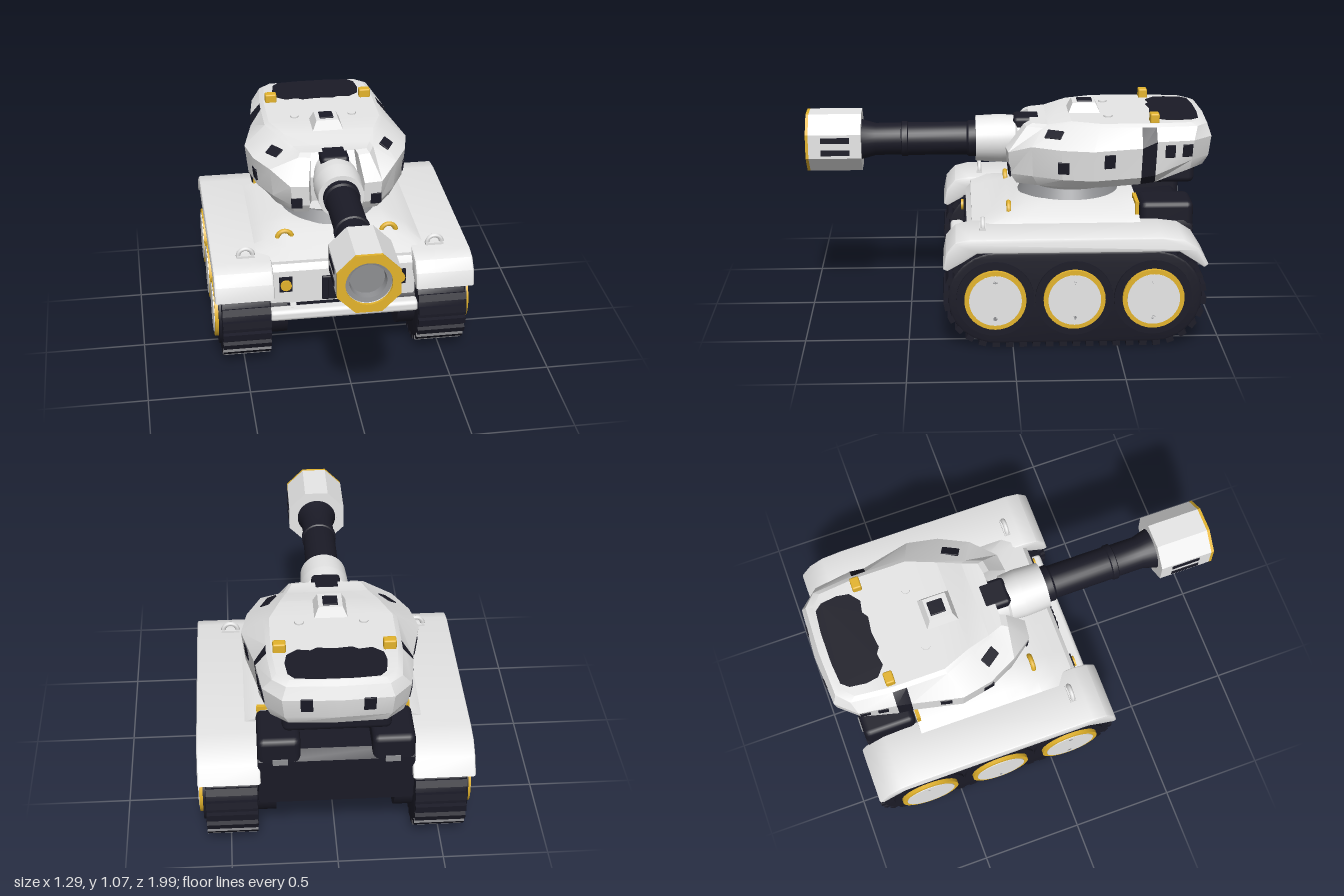
import * as THREE from 'three';
import { mergeGeometries, toCreasedNormals } from 'three/addons/utils/BufferGeometryUtils.js';
import { RoundedBoxGeometry } from 'three/addons/geometries/RoundedBoxGeometry.js';

const paint = (name, color) => Object.assign(new THREE.MeshStandardMaterial({ color }), { name });

export function createModel() {
  const white = paint('white armour', 0xececec), dark = paint('dark metal', 0x1b1b27);
  const gold = paint('gold trim', 0xe4b42c), grey = paint('grey metal', 0x8e8f92);
  const model = new THREE.Group();
  model.name = 'tank';

  // Helpers
  const add = (name, geo, mat, x = 0, y = 0, z = 0) => {
    const m = new THREE.Mesh(geo, mat);
    m.name = name;
    m.position.set(x, y, z);
    model.add(m);
    return m;
  };
  const both = (fn) => [-1, 1].forEach(fn);
  const box = (w, h, d) => new THREE.BoxGeometry(w, h, d);
  const rbox = (w, h, d, r = 0.015) => new RoundedBoxGeometry(w, h, d, 2, r);
  const disc = (r, depth, n = 32) => new THREE.CylinderGeometry(r, r, depth, n);
  const poly = (pts) => new THREE.Shape(pts.map(([a, b]) => new THREE.Vector2(a, b)));
  // Extrudes a (z, y) outline sideways, centred on x = 0
  const sideways = (shape, width, bevel = 0) => {
    const depth = width - 2 * bevel;
    const g = new THREE.ExtrudeGeometry(shape, { depth, curveSegments: 20, bevelEnabled: bevel > 0,
      bevelSize: bevel, bevelThickness: bevel, bevelOffset: -bevel, bevelSegments: 2 });
    return toCreasedNormals(g.translate(0, 0, -depth / 2).rotateY(-Math.PI / 2), 0.6);
  };
  // Lathe around the z axis, points are (radius, z)
  const latheZ = (pts, n = 32) => toCreasedNormals(new THREE.LatheGeometry(
    pts.map(([r, z]) => new THREE.Vector2(r, z)), n).rotateX(Math.PI / 2), 0.5);

  // Tracks with lugs
  const zf = 0.08, zb = -0.67, yc = 0.25, r = 0.23;
  const loop = new THREE.Shape();
  loop.absarc(zf, yc, r, -Math.PI / 2, Math.PI / 2, false);
  loop.absarc(zb, yc, r, Math.PI / 2, Math.PI * 1.5, false);
  loop.closePath();
  const lugs = [];
  for (let i = 0; i < 46; i++) {
    const p = loop.getPointAt(i / 46);
    const cz = THREE.MathUtils.clamp(p.x, zb, zf);
    const angle = Math.atan2(p.y - yc, p.x - cz);
    lugs.push(box(0.24, 0.035, 0.036).rotateX(Math.PI / 2 - angle)
      .translate(0, p.y + Math.sin(angle) * 0.003, p.x + Math.cos(angle) * 0.003));
  }
  const lugGeo = mergeGeometries(lugs);
  both((s) => {
    add('track', sideways(loop, 0.245, 0.01), dark, s * 0.49);
    add('trackLugs', lugGeo, dark, s * 0.49);
    // Road wheels
    for (const z of [0.085, -0.29, -0.665]) {
      const put = (name, geo, mat, x, y = yc) => add(name, geo.rotateZ(Math.PI / 2), mat, s * x, y, z);
      put('wheelSurround', disc(0.185, 0.03), dark, 0.61);
      put('wheelRim', disc(0.147, 0.04), gold, 0.623);
      put('wheelCap', disc(0.125, 0.012), white, 0.641);
      put('innerWheel', disc(0.15, 0.1, 24), dark, 0.33);
      both((k) => put('wheelBolt', disc(0.011, 0.008, 8), grey, 0.643, yc + k * 0.09));
    }
    // Fenders
    add('fender', sideways(poly([[0.33, 0.41], [0.315, 0.49], [0.27, 0.54], [0.2, 0.557], [-0.7, 0.558],
      [-0.8, 0.545], [-0.87, 0.5], [-0.92, 0.42], [-0.9, 0.405], [-0.85, 0.44],
      [-0.78, 0.485], [0.17, 0.485], [0.24, 0.44], [0.31, 0.4]]), 0.293, 0.01), white, s * 0.4985);
  });

  // Hull
  add('lowerHull', sideways(poly([[0.2, 0.34], [0.2, 0.26], [0.12, 0.185], [-0.76, 0.185],
    [-0.87, 0.27], [-0.87, 0.34]]), 0.58, 0.01), dark);
  add('upperHull', sideways(poly([[0.19, 0.33], [0.19, 0.45], [-0.58, 0.54], [-0.84, 0.56],
    [-0.885, 0.52], [-0.87, 0.27], [-0.6, 0.27]]), 0.73, 0.01), dark);
  add('frontHull', sideways(poly([[0.215, 0.32], [0.215, 0.5], [0.17, 0.545], [-0.6, 0.55],
    [-0.6, 0.34]]), 0.74, 0.015), white);
  // Deck crown: sloping shoulders that run down to the fenders and the nose
  const crown = new THREE.ExtrudeGeometry(poly([[-0.45, 0.53], [0.45, 0.53], [0.42, 0.557], [0.36, 0.578],
    [0.25, 0.618], [-0.25, 0.618], [-0.36, 0.578], [-0.42, 0.557]]),
  { depth: 0.81, steps: 9, bevelEnabled: false }).translate(0, 0, -0.62);
  const cp = crown.attributes.position;
  for (let i = 0; i < cp.count; i++) cp.setY(i, Math.min(cp.getY(i), 0.545 + (0.19 - cp.getZ(i)) * 0.25));
  crown.computeVertexNormals();
  add('deckCrown', toCreasedNormals(crown, 0.4), white);
  add('bumper', rbox(0.75, 0.058, 0.07, 0.02), white, 0, 0.29, 0.262);
  add('grille', rbox(0.21, 0.135, 0.02, 0.008), dark, 0, 0.395, 0.215);
  for (let i = -2; i <= 2; i++) add('grilleBar', box(0.016, 0.1, 0.012), dark, i * 0.032, 0.395, 0.225);
  both((s) => {
    add('bumperStrut', box(0.03, 0.04, 0.08), white, s * 0.25, 0.3, 0.22);
    add('headlightHousing', box(0.065, 0.08, 0.03), dark, s * 0.285, 0.43, 0.212);
    add('headlight', disc(0.028, 0.035, 12).rotateX(Math.PI / 2), gold, s * 0.285, 0.43, 0.222);
    add('fenderHook', new THREE.TorusGeometry(0.036, 0.012, 6, 12, Math.PI), white, s * 0.475, 0.567, 0.14);
    add('fenderHookBase', box(0.09, 0.018, 0.03), white, s * 0.475, 0.56, 0.14);
    add('deckHook', new THREE.TorusGeometry(0.036, 0.013, 6, 12, Math.PI), gold, s * 0.265, 0.58, 0.01);
    // Rear engine boxes with grab rails
    add('engineBox', rbox(0.2, 0.15, 0.26, 0.03), dark, s * 0.265, 0.565, -0.755);
    add('enginePlate', box(0.07, 0.03, 0.008), grey, s * 0.26, 0.52, -0.887);
    add('grabRail', box(0.15, 0.018, 0.018), gold, s * 0.285, 0.632, -0.61);
    both((k) => add('grabRailPost', box(0.018, 0.06, 0.018), gold, s * 0.285 + k * 0.067, 0.602, -0.61));
  });

  // Turret ring and neck
  add('turretRing', new THREE.CylinderGeometry(0.225, 0.255, 0.06, 40), grey, 0, 0.635, -0.3);
  add('turretNeck', new THREE.CylinderGeometry(0.32, 0.215, 0.06, 40), white, 0, 0.69, -0.31);

  // Turret shell: half outline rows hold mid x z, top x z, bottom x z, bottom y
  const half = [
    [0, -0.08, 0, -0.14, 0, -0.1, 0.7], [0.12, -0.08, 0.11, -0.14, 0.11, -0.1, 0.7],
    [0.14, 0.02, 0.12, -0.07, 0.14, -0.02, 0.7], [0.23, 0.01, 0.18, -0.08, 0.21, -0.03, 0.7],
    [0.32, -0.1, 0.21, -0.16, 0.29, -0.13, 0.71], [0.39, -0.24, 0.25, -0.28, 0.33, -0.26, 0.71],
    [0.42, -0.39, 0.31, -0.43, 0.34, -0.42, 0.71], [0.365, -0.63, 0.31, -0.63, 0.29, -0.63, 0.71],
    [0.36, -0.7, 0.31, -0.7, 0.29, -0.7, 0.72], [0.335, -0.88, 0.29, -0.9, 0.3, -0.87, 0.79],
    [0.25, -0.975, 0.23, -0.955, 0.22, -0.94, 0.79], [0, -0.99, 0, -0.965, 0, -0.95, 0.79]];
  const last = half.length - 1, n = 2 * last, levels = 5, strip = 7;
  const pos = [], shell = [], band = [];
  for (let l = 0; l < levels; l++) for (let k = 0; k < n; k++) {
    const i = k <= last ? k : n - k, s = k <= last ? 1 : -1;
    const [mx, mz, tx, tz, bx, bz, by] = half[i];
    const topY = i < 5 ? 0.975 : 1;
    const [x, y, z] = [
      [bx, by, bz], [mx * 0.96, by + 0.05, -0.45 + (mz + 0.45) * 0.98],
      [mx, i < 4 ? 0.86 : i < 8 ? 0.91 : 0.94, mz], [tx, topY, tz],
      [tx * 0.93, topY + 0.014, -0.5 + (tz + 0.5) * 0.93]][l];
    pos.push(s * x, y, z);
  }
  const quad = (list, a, b, c, d) => list.push(a, b, c, a, c, d);
  for (let l = 0; l < levels - 1; l++) for (let k = 0; k < n; k++) {
    const isBand = l < 3 && (k === strip || k === n - strip - 1), j = (k + 1) % n;
    quad(isBand ? band : shell, l * n + k, l * n + j, (l + 1) * n + j, (l + 1) * n + k);
  }
  const t = (levels - 1) * n;
  for (let i = 2; i < last; i++) {
    quad(shell, t + i, t + i + 1, t + n - i - 1, t + n - i);
    quad(shell, n - i, n - i - 1, i + 1, i);
  }
  let shellGeo = new THREE.BufferGeometry();
  shellGeo.setAttribute('position', new THREE.Float32BufferAttribute(pos, 3));
  shellGeo.setIndex([...shell, ...band]);
  shellGeo.addGroup(0, shell.length, 0);
  shellGeo.addGroup(shell.length, band.length, 1);
  shellGeo = toCreasedNormals(shellGeo, 0.4);
  const turret = add('turretShell', shellGeo, [white, dark]);

  // Windows laid flat on the shell where a ray meets it
  const ray = new THREE.Raycaster();
  const plate = (from, dir, w, h) => {
    ray.set(new THREE.Vector3(...from), new THREE.Vector3(...dir));
    const hit = ray.intersectObject(turret)[0];
    if (!hit) return;
    const m = add('turretWindow', rbox(w, h, 0.009, 0.003), dark);
    m.position.copy(hit.point);
    m.lookAt(hit.point.clone().add(hit.face.normal));
  };
  both((s) => {
    plate([s * 0.2, 0.765, 2], [0, 0, -1], 0.055, 0.06);
    plate([s * 0.285, 2, -0.21], [0, -1, 0], 0.085, 0.055);
    plate([s * 2, 0.82, -0.25], [-s, 0, 0], 0.055, 0.06);
    plate([s * 2, 0.855, -0.47], [-s, 0, 0], 0.055, 0.07);
    plate([s * 2, 0.89, -0.765], [-s, 0, 0], 0.05, 0.065);
    plate([s * 2, 0.89, -0.85], [-s, 0, 0], 0.05, 0.065);
    plate([s * 0.14, 0.91, -2], [0, 0, 1], 0.055, 0.07);
    // Roof lamps and bolts
    add('roofLamp', rbox(0.06, 0.05, 0.045, 0.008), gold, s * 0.25, 1.033, -0.695);
    add('roofBolt', disc(0.022, 0.012, 12), white, s * 0.15, 1.016, -0.48);
  });
  add('turretUnderside', rbox(0.5, 0.11, 0.27, 0.03), dark, 0, 0.755, -0.765);

  // Roof patch and hatch
  const edge = [[0, 0.7], [0.08, 0.69], [0.11, 0.71], [0.17, 0.7], [0.22, 0.74], [0.23, 0.8],
    [0.22, 0.88], [0.19, 0.915], [0.08, 0.925]];
  const patch = poly([...edge, ...edge.slice(1).reverse().map(([x, z]) => [-x, z])]);
  add('roofPatch', new THREE.ExtrudeGeometry(patch, { depth: 0.006, bevelEnabled: false })
    .rotateX(-Math.PI / 2), dark, 0, 1.012, 0);
  add('hatch', toCreasedNormals(new THREE.CylinderGeometry(0.08, 0.115, 0.055, 4)
    .rotateY(Math.PI / 4), 0.3), white, 0, 1.033, -0.37);
  add('hatchWindow', rbox(0.07, 0.012, 0.075, 0.004), dark, 0, 1.061, -0.375);

  // Gun
  const gy = 0.87;
  add('gunMount', rbox(0.14, 0.14, 0.14, 0.02), dark, 0, 0.92, -0.09);
  add('gunSleeve', latheZ([[0, -0.12], [0.1, -0.12], [0.1, -0.04], [0.113, -0.03], [0.119, 0.04],
    [0.119, 0.05], [0.113, 0.165], [0, 0.165]]), white, 0, gy);
  add('barrel', latheZ([[0.09, 0.15], [0.09, 0.2], [0.082, 0.21], [0.082, 0.5], [0.088, 0.505],
    [0.088, 0.53], [0.08, 0.535], [0.08, 0.66], [0.1, 0.73], [0, 0.735]]), dark, 0, gy);

  // Octagonal muzzle
  const octagon = (depth) => {
    const shape = poly(Array.from({ length: 8 }, (_, i) => {
      const a = (i + 0.5) * Math.PI / 4;
      return [0.156 * Math.cos(a), 0.156 * Math.sin(a)];
    }));
    shape.holes.push(new THREE.Path().absarc(0, 0, 0.106, 0, Math.PI * 2, true));
    return new THREE.ExtrudeGeometry(shape, { depth, bevelEnabled: false, curveSegments: 24 });
  };
  add('muzzle', octagon(0.258), white, 0, gy, 0.728);
  add('muzzleRim', octagon(0.014), gold, 0, gy, 0.986);
  add('muzzleBack', disc(0.108, 0.01).rotateX(Math.PI / 2), white, 0, gy, 0.734);
  add('bore', latheZ([[0.107, 0.98], [0.085, 0.975], [0.08, 0.94], [0, 0.94]]), grey, 0, gy);
  both((s) => both((k) => add('muzzleVent', box(0.008, 0.028, 0.14), dark, s * 0.144, gy + k * 0.031, 0.855)));
  return model;
}
